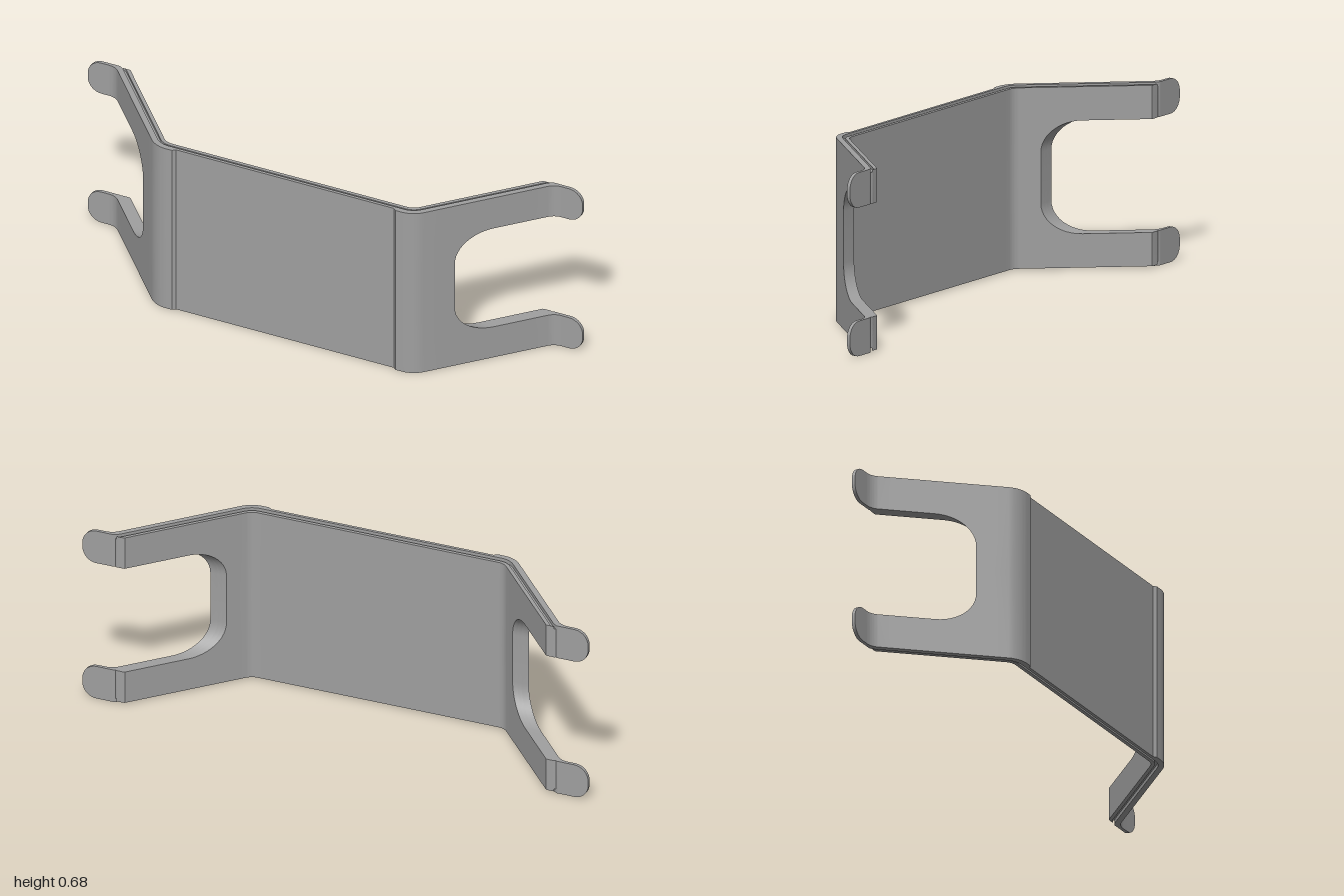
import * as THREE from 'three';
import { toCreasedNormals } from 'three/addons/utils/BufferGeometryUtils.js';

const HEIGHT = 0.68, MID = HEIGHT / 2, BACK = -0.213;
const clamp = THREE.MathUtils.clamp;

// Front line of the bent sheet, seen from above: flat, bend, slant, bend, tab
const ANG = Math.atan2(0.413, 0.366), S = Math.sin(ANG), C = Math.cos(ANG);
const R1 = 0.1, R2 = 0.06, T = Math.tan(ANG / 2);
const C1 = 0.521 - R1 * T, C2 = 0.887 + R2 * T;

function frontLine(x) {
  if (x <= C1) return { z: 0.213, nx: 0, nz: 1 };
  if (x < C1 + R1 * S) {
    const h = Math.sqrt(R1 * R1 - (x - C1) ** 2);
    return { z: 0.213 - R1 + h, nx: (x - C1) / R1, nz: h / R1 };
  }
  if (x < C2 - R2 * S) return { z: 0.213 - (x - 0.521) * S / C, nx: S, nz: C };
  if (x < C2) {
    const h = Math.sqrt(R2 * R2 - (x - C2) ** 2);
    return { z: -0.2 + R2 - h, nx: (C2 - x) / R2, nz: h / R2 };
  }
  return { z: -0.2, nx: 0, nz: 1 };
}

// Point at depth d behind the front line; the window is cut straight along x
function sheetPoint(u, d, y) {
  const a = Math.abs(u);
  const w = clamp((a - 0.55) / 0.07, 0, 1) * clamp((0.86 - a) / 0.06, 0, 1);
  const x = a - w * d * C * C / S;
  const p = frontLine(x);
  return [Math.sign(u) * (x - p.nx * d), y, Math.max(p.z - p.nz * d, BACK)];
}

// Columns across one half, with the inner edge height of the upper arm
function halfColumns(end) {
  const cols = [];
  const add = (u, lo) => { if (u <= end + 1e-6) cols.push({ u, lo, round: 0 }); };
  [0.001, 0.2, 0.44, 0.452].forEach(u => add(u, MID));
  for (let i = 0; i <= 10; i++) add(C1 + R1 * S * i / 10, MID);
  [0.59, 0.63].forEach(u => add(u, MID));
  for (let i = 0; i <= 12; i++) {
    const t = i / 12 * Math.PI / 2;
    add(0.73 - 0.1 * Math.cos(t), 0.435 + 0.115 * Math.sin(t));
  }
  [0.76, 0.8, 0.83].forEach(u => add(u, 0.55));
  for (let i = 0; i <= 10; i++) add(C2 - R2 * S * (1 - i / 10), 0.55);
  // rounded tab end
  for (let i = 0; i <= 8; i++) {
    const t = i / 8 * Math.PI / 2;
    if (end >= 1) cols.push({ u: 0.945 + 0.055 * Math.sin(t), lo: 0.55, round: 0.055 * (1 - Math.cos(t)) });
  }
  return cols;
}

// One layer of the sheet between two depths, lofted across the columns
function layerGeometry({ front, back, inset, end }) {
  const half = halfColumns(end);
  const cols = [...half.map(c => ({ ...c, u: -c.u })).reverse(), ...half];
  const out = [];
  const tri = (a, b, c, flip) => {
    const [p, q, r] = [a, b, c].map(v => new THREE.Vector3(...v));
    if (q.sub(p).cross(r.sub(p)).length() < 1e-10) return;
    out.push(...a, ...(flip ? c : b), ...(flip ? b : c));
  };
  const quad = (a, b, c, d, flip) => { tri(a, b, c, flip); tri(a, c, d, flip); };

  for (const flip of [false, true]) {
    const rings = cols.map(({ u, lo, round }) => {
      const f = Math.abs(u) < 0.445 ? Math.max(front, 0.01) : front;
      const y = v => (flip ? HEIGHT - v : v);
      const bottom = y(lo + round), top = y(HEIGHT - inset - round);
      return [sheetPoint(u, f, bottom), sheetPoint(u, f, top),
        sheetPoint(u, back, top), sheetPoint(u, back, bottom)];
    });
    for (let i = 0; i + 1 < rings.length; i++) {
      const p = rings[i], q = rings[i + 1];
      const joined = cols[i].lo === MID && cols[i + 1].lo === MID;
      for (let j = 0; j < (joined ? 3 : 4); j++) {
        const k = (j + 1) % 4;
        quad(p[j], q[j], q[k], p[k], flip);
      }
    }
    const s = rings[0], e = rings[rings.length - 1];
    quad(s[0], s[1], s[2], s[3], flip);
    quad(e[0], e[3], e[2], e[1], flip);
  }
  const g = new THREE.BufferGeometry();
  g.setAttribute('position', new THREE.Float32BufferAttribute(out, 3));
  return toCreasedNormals(g, 0.5);
}

export function createModel() {
  const group = new THREE.Group();
  group.name = 'bentBracket';
  const grey = new THREE.MeshStandardMaterial({ color: 0xa0a0a0 });
  grey.name = 'grey';

  // Front sheet carries the tabs; the core is recessed to leave an edge groove
  const layers = {
    frontSheet: { front: 0, back: 0.022, inset: 0, end: 1 },
    grooveCore: { front: 0.022, back: 0.034, inset: 0.015, end: 0.885 },
    backSheet: { front: 0.034, back: 0.048, inset: 0.005, end: 0.885 },
  };
  for (const [name, spec] of Object.entries(layers)) {
    const mesh = new THREE.Mesh(layerGeometry(spec), grey);
    mesh.name = name;
    group.add(mesh);
  }
  return group;
}
